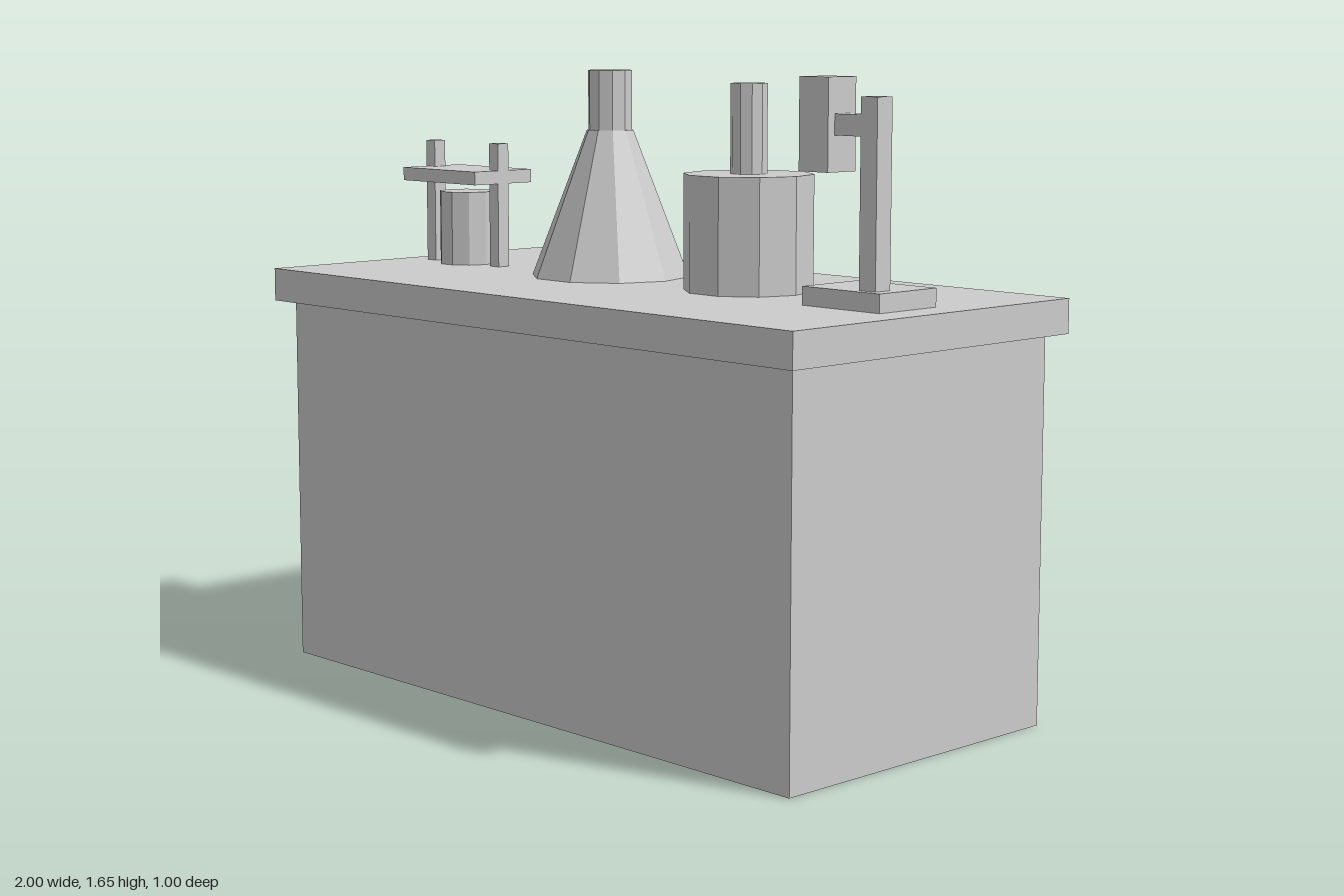
import * as THREE from 'three';

export function createModel() {
  const model = new THREE.Group();
  model.name = 'laboratoryBench';
  const grey = new THREE.MeshStandardMaterial({ color: 0xcccccc });
  grey.name = 'light grey';
  grey.flatShading = true;

  const group = (name) => {
    const g = new THREE.Group();
    g.name = name;
    model.add(g);
    return g;
  };
  const add = (parent, name, geometry) => {
    const mesh = new THREE.Mesh(geometry, grey);
    mesh.name = name;
    parent.add(mesh);
  };
  // Box given by its limits on each axis
  const box = (parent, name, [x0, x1], [y0, y1], [z0, z1]) =>
    add(parent, name, new THREE.BoxGeometry(x1 - x0, y1 - y0, z1 - z0)
      .translate((x0 + x1) / 2, (y0 + y1) / 2, (z0 + z1) / 2));
  // Ten-sided cylinder or cone with corners on the x axis
  const round = (parent, name, rTop, rBottom, y0, y1, x, z) =>
    add(parent, name, new THREE.CylinderGeometry(rTop, rBottom, y1 - y0, 10)
      .rotateY(Math.PI / 2).translate(x, (y0 + y1) / 2, z));

  const top = 1.1;

  // Bench
  const bench = group('bench');
  box(bench, 'cabinet', [-0.96, 0.96], [0, 1.01], [-0.458, 0.458]);
  box(bench, 'worktop', [-1, 1], [1.01, top], [-0.5, 0.5]);

  // Rack with a small beaker beneath its shelf
  const rack = group('rack');
  for (const side of [-1, 1]) {
    const x = -0.76 + side * 0.141;
    box(rack, 'rackPost', [x - 0.019, x + 0.019], [top, 1.445], [-0.019, 0.019]);
  }
  box(rack, 'rackShelf', [-0.92, -0.6], [1.333, 1.37], [-0.103, 0.103]);
  round(rack, 'beaker', 0.08, 0.08, top, 1.306, -0.76, 0);

  // Conical flask
  const flask = group('flask');
  round(flask, 'flaskBody', 0.064, 0.217, top, 1.495, -0.21, -0.05);
  round(flask, 'flaskNeck', 0.06, 0.06, 1.495, 1.655, -0.21, -0.05);

  // Wide jar with a narrow neck
  const jar = group('jar');
  round(jar, 'jarBody', 0.169, 0.169, top, 1.4, 0.318, -0.048);
  round(jar, 'jarNeck', 0.048, 0.048, 1.4, 1.63, 0.318, -0.048);

  // Stand with a head on a side arm
  const stand = group('stand');
  box(stand, 'standBase', [0.652, 0.904], [top, 1.147], [-0.103, 0.103]);
  box(stand, 'standPost', [0.817, 0.87], [1.147, 1.61], [0.027, 0.08]);
  box(stand, 'standArm', [0.733, 0.817], [1.515, 1.567], [0.027, 0.08]);
  box(stand, 'standHead', [0.637, 0.733], [1.426, 1.655], [0.005, 0.103]);

  return model;
}
